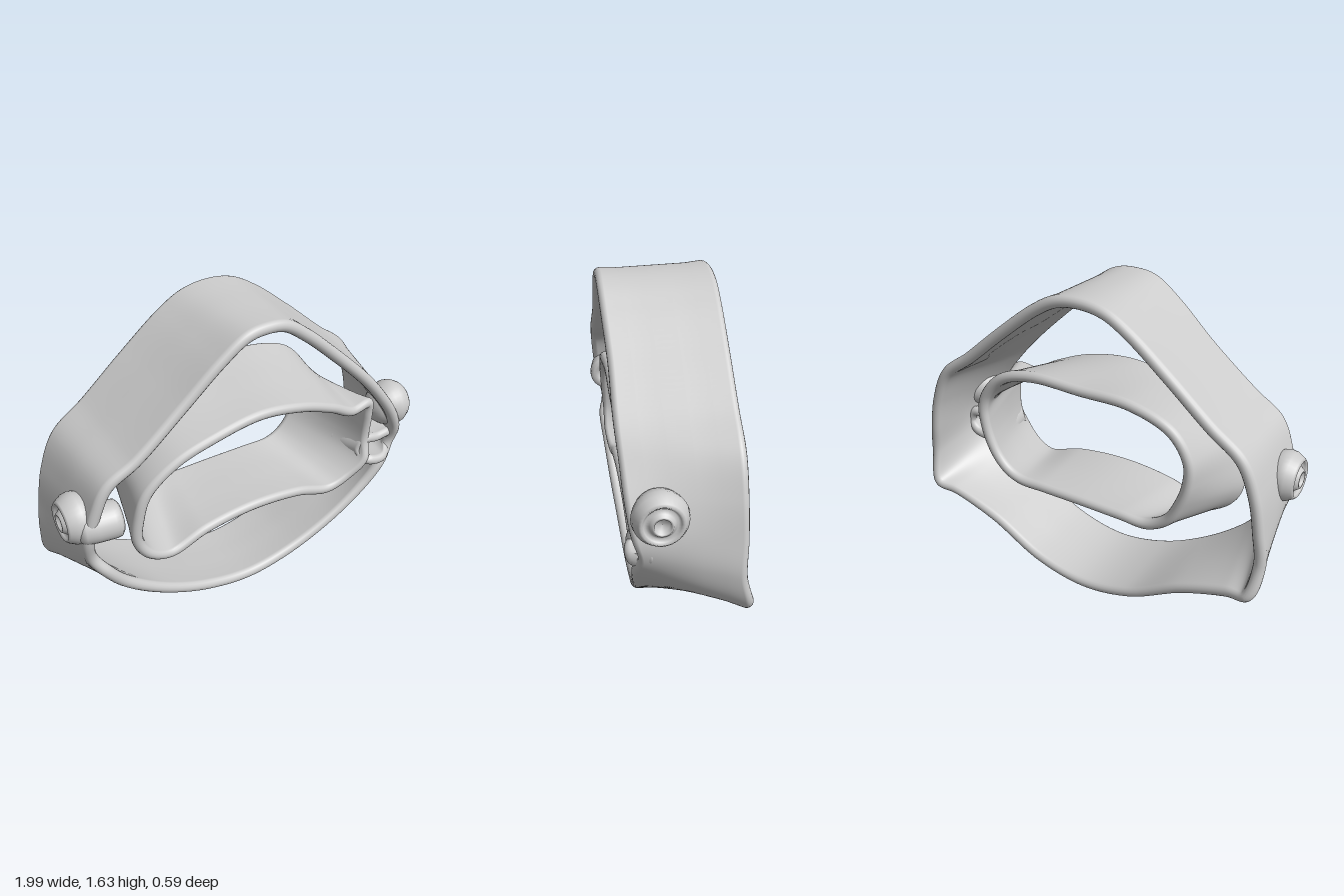
import * as THREE from 'three';

const material = new THREE.MeshStandardMaterial({ color: 0xcccccc });

// Closed strap stretched between a front rim and a back rim, with rounded edges.
// Each row is [front x, y, z, back x, y, z], clockwise as seen from the front.
function strap(name, rows, r, steps) {
  const curve = (o) => new THREE.CatmullRomCurve3(
    rows.map((p) => new THREE.Vector3(p[o], p[o + 1], p[o + 2])), true, 'centripetal');
  const front = curve(0), back = curve(3);

  // Cross-section: u runs front to back, d insets along it, w is the thickness offset
  const section = [];
  const side = (us, w) => us.forEach((u) => section.push({ u, d: 0, w }));
  const cap = (u, sign) => {
    for (let k = 0; k <= 8; k++) {
      const a = sign * (Math.PI / 2 - (k / 8) * Math.PI);
      section.push({ u, d: sign * r * (1 - Math.cos(a)), w: r * Math.sin(a) });
    }
  };
  cap(0, 1);
  side([0.2, 0.4, 0.6, 0.8], -0.8 * r);
  cap(1, -1);
  side([0.8, 0.6, 0.4, 0.2], 0.8 * r);

  const pos = [], index = [], m = section.length;
  for (let i = 0; i < steps; i++) {
    const t = i / steps;
    const F = front.getPoint(t), B = back.getPoint(t);
    const D = B.clone().sub(F).normalize();
    const nF = front.getTangent(t).cross(D).normalize();
    const nB = back.getTangent(t).cross(D).normalize();
    section.forEach((s, j) => {
      const n = nF.clone().lerp(nB, s.u).normalize();
      const p = F.clone().lerp(B, s.u).addScaledVector(D, s.d).addScaledVector(n, s.w);
      pos.push(p.x, p.y, p.z);
      const i2 = (i + 1) % steps, j2 = (j + 1) % m;
      const a = i * m + j, b = i * m + j2, c = i2 * m + j, d = i2 * m + j2;
      index.push(a, b, c, c, b, d);
    });
  }
  const geo = new THREE.BufferGeometry();
  geo.setAttribute('position', new THREE.Float32BufferAttribute(pos, 3));
  geo.setIndex(index);
  geo.computeVertexNormals();
  const mesh = new THREE.Mesh(geo, material);
  mesh.name = name;
  return mesh;
}

// Turned part whose axis points along +x (side 1) or -x (side -1)
function turned(name, profile, side, x, y, z) {
  const pts = profile.map(([r, h]) => new THREE.Vector2(r, h));
  const mesh = new THREE.Mesh(new THREE.LatheGeometry(pts, 32), material);
  mesh.name = name;
  mesh.rotation.z = -side * Math.PI / 2;
  mesh.position.set(x, y, z);
  return mesh;
}

export function createModel() {
  const model = new THREE.Group();

  // Outer band: a wide pointed arch above, shallow bowl below
  const top = [[0, 1.59, 0.295, 0, 1.605, -0.255]];
  const left = [
    [0.10, 1.575, 0.295, 0.13, 1.585, -0.255],
    [0.23, 1.485, 0.29, 0.25, 1.52, -0.255],
    [0.42, 1.315, 0.28, 0.46, 1.355, -0.255],
    [0.60, 1.14, 0.28, 0.67, 1.175, -0.255],
    [0.72, 1.00, 0.27, 0.83, 1.05, -0.255],
    [0.83, 0.85, 0.26, 0.905, 0.88, -0.255],
    [0.89, 0.72, 0.24, 0.94, 0.70, -0.255],
    [0.88, 0.62, 0.21, 0.96, 0.53, -0.25],
    [0.82, 0.53, 0.23, 0.93, 0.365, -0.29],
    [0.72, 0.40, 0.22, 0.82, 0.335, -0.27],
    [0.52, 0.24, 0.205, 0.57, 0.24, -0.255],
    [0.27, 0.12, 0.19, 0.28, 0.085, -0.255],
  ];
  const bottom = [[0, 0.07, 0.185, 0, 0.03, -0.255]];
  // The right side bulges out a little further at the shoulder
  const shoulder = { 3: [0.66, 1.12], 4: [0.80, 1.03], 5: [0.86, 0.91], 6: [0.90, 0.74] };
  const right = left.map((p, i) => {
    const [fx, fy] = shoulder[i] || p;
    return [-fx, fy, p[2], -p[3], p[4], p[5]];
  }).reverse();
  model.add(strap('outerBand', [...top, ...left, ...bottom, ...right], 0.03, 240));

  // Inner ring: an oblong opening that flares towards the front
  model.add(strap('innerRing', [
    [0, 1.12, 0.26, 0, 1.175, -0.26],
    [0.24, 1.08, 0.26, 0.28, 1.175, -0.26],
    [0.44, 1.00, 0.25, 0.46, 1.12, -0.26],
    [0.58, 0.93, 0.24, 0.56, 1.01, -0.26],
    [0.70, 0.94, 0.23, 0.585, 0.92, -0.26],
    [0.715, 0.86, 0.22, 0.58, 0.84, -0.26],
    [0.715, 0.70, 0.21, 0.555, 0.75, -0.26],
    [0.70, 0.59, 0.24, 0.51, 0.66, -0.26],
    [0.60, 0.495, 0.22, 0.45, 0.595, -0.26],
    [0.49, 0.455, 0.21, 0.37, 0.56, -0.26],
    [0.28, 0.52, 0.21, 0.22, 0.555, -0.26],
    [0, 0.55, 0.21, 0, 0.555, -0.26],
    [-0.28, 0.52, 0.21, -0.22, 0.555, -0.26],
    [-0.48, 0.455, 0.21, -0.37, 0.56, -0.26],
    [-0.60, 0.51, 0.22, -0.48, 0.63, -0.26],
    [-0.66, 0.61, 0.22, -0.54, 0.74, -0.26],
    [-0.65, 0.75, 0.23, -0.575, 0.85, -0.26],
    [-0.60, 0.89, 0.24, -0.575, 0.97, -0.26],
    [-0.45, 1.01, 0.25, -0.49, 1.10, -0.26],
    [-0.25, 1.08, 0.26, -0.28, 1.175, -0.26],
  ], 0.028, 240));

  // Hollow link joining the ring's left wall to the outer band
  model.add(strap('link', [
    [0.72, 0.69, 0.21, 0.66, 0.69, 0.0],
    [0.80, 0.68, 0.21, 0.76, 0.69, 0.0],
    [0.87, 0.685, 0.21, 0.88, 0.69, 0.0],
    [0.895, 0.63, 0.18, 0.91, 0.63, 0.0],
    [0.82, 0.57, 0.25, 0.86, 0.57, 0.0],
    [0.72, 0.585, 0.25, 0.66, 0.585, 0.0],
    [0.69, 0.64, 0.20, 0.63, 0.64, 0.0],
  ], 0.028, 80));

  // Side knobs: domed inside, dished outer face with a raised centre and a small hole
  const knob = [
    [0, -0.11], [0.04, -0.105], [0.08, -0.08], [0.105, -0.045],
    [0.118, -0.01], [0.125, 0.02], [0.12, 0.05], [0.10, 0.085], [0.09, 0.095], [0.08, 0.085],
    [0.07, 0.07], [0.055, 0.085], [0.045, 0.1], [0.036, 0.1], [0.03, 0.08], [0, 0.075],
  ];
  model.add(turned('leftKnob', knob, 1, 0.895, 0.825, 0.12));
  model.add(turned('rightKnob', knob, -1, -0.895, 0.825, 0.115));

  // Stub that clips over the right front rim, pointing inward and slightly forward
  const stub = turned('rightStub', [
    [0, -0.1], [0.06, -0.09], [0.085, -0.06], [0.09, 0], [0.092, 0.08],
    [0.088, 0.105], [0.07, 0.12], [0.045, 0.115], [0.036, 0.1], [0.03, 0.075], [0, 0.07],
  ], 1, -0.85, 0.805, 0.18);
  stub.rotation.y = -0.12;
  model.add(stub);

  return model;
}
